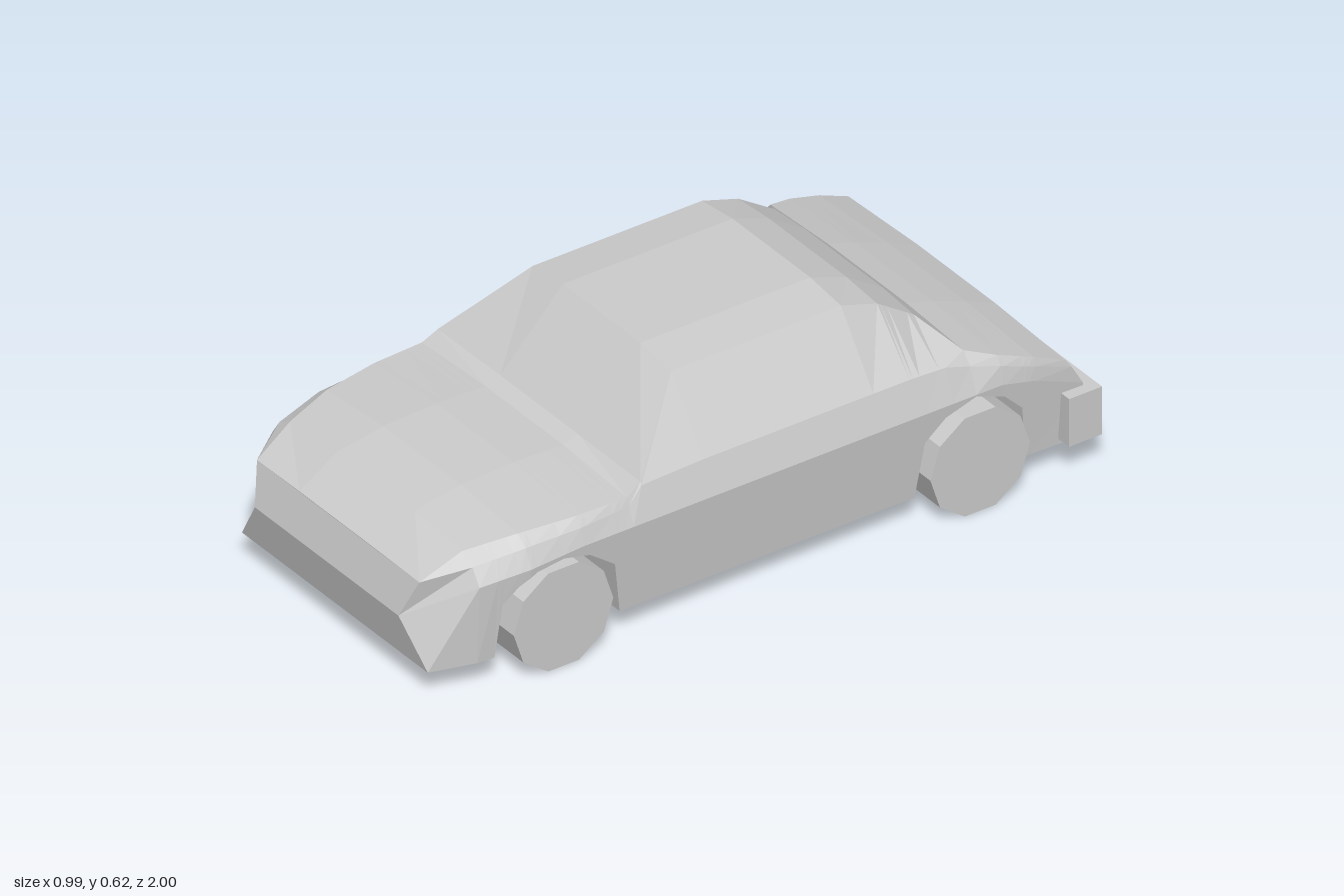
import * as THREE from 'three';

const material = new THREE.MeshStandardMaterial({ color: 0xcccccc, flatShading: true });
const FLOOR = 0.075, WELL_X = 0.27, CROWN_X = 0.165;

// Body sections, front to back:
// z, sill x, side x, side y, belt x, belt y, top edge x, top edge y, crown y
const SECTIONS = [
  [0.85, 0.43, 0.44, 0.3, 0.41, 0.345, 0.365, 0.37, 0.385],
  [0.71, 0.44, 0.465, 0.315, 0.44, 0.365, 0.405, 0.39, 0.408],
  [0.55, 0.44, 0.465, 0.325, 0.45, 0.37, 0.43, 0.395, 0.415],
  [0.4, 0.44, 0.465, 0.325, 0.445, 0.375, 0.436, 0.397, 0.41],
  [0.355, 0.44, 0.465, 0.325, 0.435, 0.415, 0.43, 0.423, 0.425],
  [0.165, 0.44, 0.465, 0.325, 0.433, 0.42, 0.295, 0.607, 0.622],
  [-0.35, 0.44, 0.465, 0.325, 0.433, 0.42, 0.295, 0.607, 0.622],
  [-0.46, 0.44, 0.465, 0.325, 0.433, 0.42, 0.295, 0.572, 0.582],
  [-0.57, 0.44, 0.465, 0.325, 0.433, 0.415, 0.297, 0.5, 0.51],
  [-0.64, 0.44, 0.465, 0.325, 0.438, 0.395, 0.41, 0.428, 0.44],
  [-0.72, 0.442, 0.465, 0.325, 0.455, 0.375, 0.44, 0.4, 0.415],
  [-0.82, 0.445, 0.465, 0.3, 0.462, 0.34, 0.455, 0.365, 0.378],
];

// Height of the lower body edge along z, rising over the wheels
const ARCHES = [
  [0.8, FLOOR], [0.785, 0.23], [0.74, 0.272], [0.69, 0.3], [0.61, 0.31], [0.53, 0.29],
  [0.45, 0.23], [0.425, FLOOR],
  [-0.47, FLOOR], [-0.49, 0.235], [-0.55, 0.29], [-0.64, 0.32], [-0.73, 0.285],
  [-0.785, 0.23], [-0.8, FLOOR],
];

// Linear interpolation in a table sorted by falling z
function sample(table, z) {
  if (z >= table[0][0]) return table[0];
  for (let i = 1; i < table.length; i++) {
    const a = table[i - 1], b = table[i];
    if (z >= b[0]) {
      const t = (a[0] - z) / (a[0] - b[0]);
      return a.map((v, k) => v + (b[k] - v) * t);
    }
  }
  return table[table.length - 1];
}

// Mirror a half section (bottom centre to top centre) into a full ring
function mirrorRing(half) {
  const other = half.slice(1, -1).reverse().map(([x, y, z]) => [-x, y, z]);
  return [...half, ...other];
}

function bodyRing(z) {
  const [, xs, xm, ym, xb, yb, xe, ye, yt] = sample(SECTIONS, z);
  const arch = sample(ARCHES, z)[1];
  const lipX = xs + (xm - xs) * (arch - FLOOR) / (ym - FLOOR);
  return mirrorRing([
    [0, FLOOR, z], [WELL_X, FLOOR, z], [WELL_X, arch, z], [lipX, arch, z], [xm, ym, z],
    [xb, yb, z], [xe, ye, z], [CROWN_X, yt, z], [0, yt, z],
  ]);
}

function bodyGeometry() {
  const nose = mirrorRing([
    [0, FLOOR, 0.975], [WELL_X, FLOOR, 0.975], [WELL_X, FLOOR, 0.975], [0.395, FLOOR, 0.975],
    [0.305, 0.205, 1], [0.345, 0.31, 0.965], [0.345, 0.31, 0.965],
    [CROWN_X, 0.312, 0.965], [0, 0.312, 0.965],
  ]);
  const tail = mirrorRing([
    [0, FLOOR, -0.98], [WELL_X, FLOOR, -0.98], [WELL_X, FLOOR, -0.98], [0.45, FLOOR, -0.98],
    [0.463, 0.24, -0.965], [0.463, 0.3, -0.93], [0.46, 0.325, -0.912],
    [CROWN_X, 0.337, -0.912], [0, 0.337, -0.912],
  ]);
  const zs = [...new Set([...SECTIONS, ...ARCHES].map((row) => row[0]))].sort((a, b) => b - a);
  const rings = [nose, ...zs.map(bodyRing), tail];
  const n = nose.length;
  const index = [];
  const quad = (a, b, c, d) => index.push(a, b, c, a, c, d);

  // Skin between rings
  for (let i = 0; i < rings.length - 1; i++) {
    for (let j = 0; j < n; j++) {
      const k = (j + 1) % n;
      quad(i * n + j, (i + 1) * n + j, (i + 1) * n + k, i * n + k);
    }
  }
  // Nose and tail closed with strips across the car
  const last = (rings.length - 1) * n;
  for (let j = 0; j < n / 2; j++) {
    const m = (n - j) % n, m1 = n - j - 1;
    quad(j, j + 1, m1, m);
    quad(last + m, last + m1, last + j + 1, last + j);
  }
  const geometry = new THREE.BufferGeometry();
  geometry.setAttribute('position', new THREE.Float32BufferAttribute(rings.flat(2), 3));
  geometry.setIndex(index);
  const flat = geometry.toNonIndexed();
  flat.computeVertexNormals();
  return flat;
}

function addMesh(parent, name, geometry, x = 0, y = 0, z = 0) {
  const mesh = new THREE.Mesh(geometry, material);
  mesh.name = name;
  mesh.position.set(x, y, z);
  parent.add(mesh);
  return mesh;
}

export function createModel() {
  const car = new THREE.Group();
  car.name = 'car';

  addMesh(car, 'body', bodyGeometry());
  addMesh(car, 'rearBumper', new THREE.BoxGeometry(0.99, 0.14, 0.1), 0, 0.162, -0.95);

  // Ten-sided wheels; the rear pair is wider
  const wheels = [
    ['front', 0.615, 0.335, 0.468],
    ['rear', -0.635, 0.28, 0.488],
  ];
  for (const [end, z, inner, outer] of wheels) {
    const geometry = new THREE.CylinderGeometry(0.151, 0.151, outer - inner, 10);
    geometry.rotateZ(Math.PI / 2);
    // Point a corner straight forward and back
    for (const [side, sign] of [['Left', 1], ['Right', -1]]) {
      addMesh(car, `${end}${side}Wheel`, geometry, sign * (inner + outer) / 2, 0.1436, z);
    }
  }
  return car;
}
